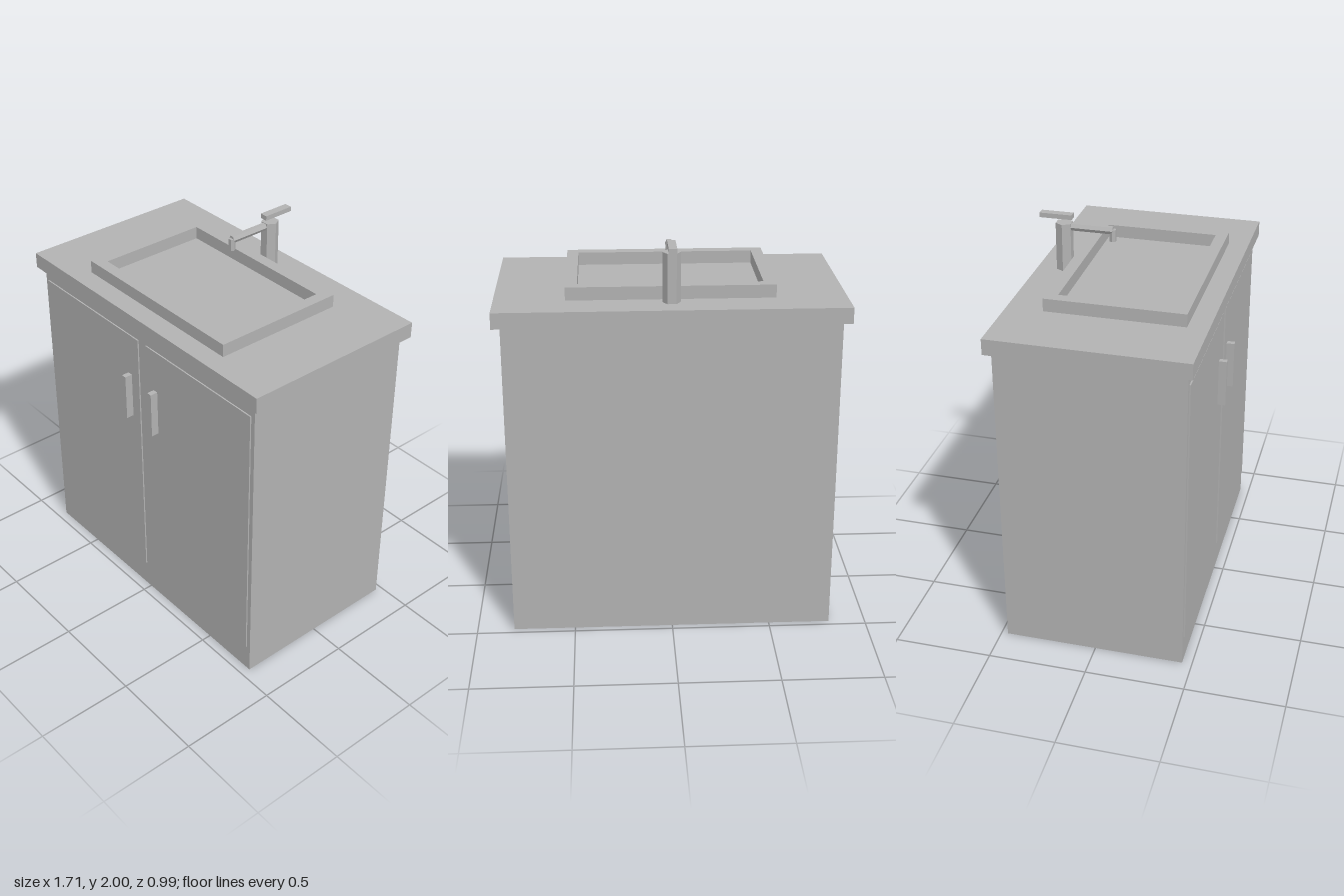
import * as THREE from 'three';

export function createModel() {
  const model = new THREE.Group();
  model.name = 'washbasinCabinet';
  const grey = new THREE.MeshStandardMaterial({ color: 0xb2b2b2 });
  grey.name = 'grey';

  const add = (name, geometry, x = 0, y = 0, z = 0) => {
    const mesh = new THREE.Mesh(geometry, grey);
    mesh.name = name;
    mesh.position.set(x, y, z);
    model.add(mesh);
    return mesh;
  };
  // Box given by its limits on each axis
  const box = (name, [x0, x1], [y0, y1], [z0, z1]) =>
    add(name, new THREE.BoxGeometry(x1 - x0, y1 - y0, z1 - z0),
      (x0 + x1) / 2, (y0 + y1) / 2, (z0 + z1) / 2);
  // Faceted six-sided bar with corners pointing to the left and right
  const hexBar = (radius, length) => {
    const bar = new THREE.CylinderGeometry(radius, radius, length, 6).rotateY(Math.PI / 6).toNonIndexed();
    bar.computeVertexNormals();
    return bar;
  };

  // Cabinet and countertop
  box('cabinetBody', [-0.813, 0.813], [0, 1.63], [-0.467, 0.45]);
  box('countertop', [-0.853, 0.853], [1.63, 1.71], [-0.497, 0.478]);

  // Doors with upright handles, mirrored
  for (const [side, s] of [['left', 1], ['right', -1]]) {
    const span = (a, b) => (s > 0 ? [a, b] : [-b, -a]);
    box(side + 'Door', span(0.03, 0.79), [0.145, 1.57], [0.45, 0.457]);
    box(side + 'Handle', span(0.088, 0.115), [1.1, 1.345], [0.457, 0.497]);
  }

  // Raised rectangular basin rim, open in the middle
  const rim = new THREE.Shape([[-0.508, -0.375], [0.508, -0.375], [0.508, 0.315], [-0.508, 0.315]]
    .map(([x, y]) => new THREE.Vector2(x, y)));
  rim.holes.push(new THREE.Path([[-0.45, -0.315], [-0.45, 0.256], [0.45, 0.256], [0.45, -0.315]]
    .map(([x, y]) => new THREE.Vector2(x, y))));
  add('basinRim', new THREE.ExtrudeGeometry(rim, { depth: 0.065, bevelEnabled: false })
    .rotateX(-Math.PI / 2), 0, 1.71, 0);

  // Tap: column, spout, nozzle and lever
  add('tapColumn', hexBar(0.044, 0.245), 0, 1.8325, -0.359);
  add('tapSpout', hexBar(0.02, 0.25).rotateX(Math.PI / 2), 0, 1.935, -0.235);
  add('tapNozzle', hexBar(0.018, 0.06), 0, 1.91, -0.112);
  box('tapLever', [-0.02, 0.02], [1.976, 2], [-0.479, -0.315]);

  return model;
}
